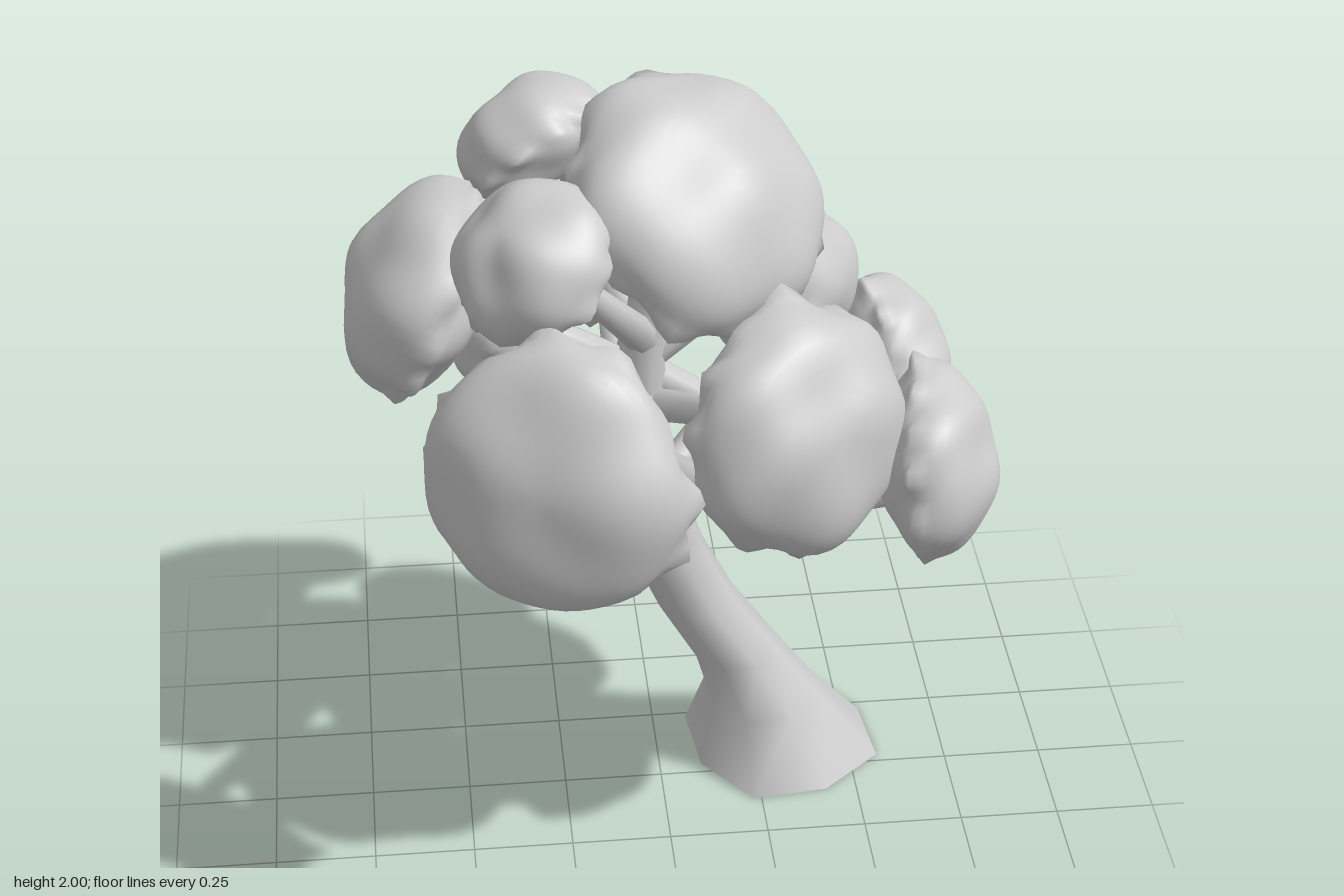
import * as THREE from 'three';
import { mergeVertices } from 'three/addons/utils/BufferGeometryUtils.js';

const material = new THREE.MeshStandardMaterial({ color: 0xcccccc });

// Trunk rings: y, centre x, centre z, radius x, radius z
const trunkRings = [
  [0, 0.33, -0.13, 0.25, 0.26],
  [0.18, 0.28, -0.11, 0.155, 0.15],
  [0.33, 0.205, -0.11, 0.11, 0.11],
  [0.5, 0.1, -0.105, 0.1, 0.105],
  [0.66, 0.025, -0.105, 0.095, 0.1],
  [0.82, -0.015, -0.08, 0.085, 0.1],
  [1.0, -0.045, -0.07, 0.075, 0.09],
  [1.25, -0.045, -0.06, 0.06, 0.062],
  [1.45, -0.02, -0.06, 0.045, 0.045],
  [1.68, 0.02, -0.06, 0.025, 0.025],
];

// Leaf clumps: centre, outward direction, disc radius, half thickness
const clumps = [
  { at: [0.08, 1.745, 0.075], out: [0.43, 0.7, 0.55], r: 0.315, t: 0.155 },
  { at: [0.03, 1.68, -0.3], out: [0, 0.72, -0.65], r: 0.285, t: 0.14 },
  { at: [-0.085, 1.31, -0.55], out: [-0.1, 0.3, -0.9], r: 0.275, t: 0.125 },
  { at: [-0.28, 1.75, -0.25], out: [-0.5, 0.7, -0.4], r: 0.19, t: 0.13 },
  { at: [-0.31, 1.7, 0.23], out: [-0.5, 0.7, 0.4], r: 0.195, t: 0.13 },
  { at: [-0.56, 1.5, -0.025], out: [-0.85, 0.4, 0], r: 0.26, t: 0.16 },
  { at: [-0.34, 1.315, -0.14], out: [-0.75, 0.3, -0.5], r: 0.18, t: 0.14 },
  { at: [-0.29, 1.305, 0.525], out: [-0.35, 0.22, 0.9], r: 0.31, t: 0.135 },
  { at: [0.275, 1.34, 0.43], out: [0.5, 0.3, 0.8], r: 0.29, t: 0.145 },
  { at: [0.61, 1.155, 0.315], out: [0.95, 0.12, 0.25], r: 0.23, t: 0.135 },
  { at: [0.565, 1.19, -0.105], out: [0.95, 0.15, -0.15], r: 0.2, t: 0.135 },
  { at: [0.335, 1.155, -0.4], out: [0.6, 0.2, -0.7], r: 0.2, t: 0.13 },
  { at: [0.31, 1.46, -0.13], out: [0.68, 0.65, -0.1], r: 0.2, t: 0.14 },
  { at: [0.305, 0.88, -0.135], out: [0.5, -0.6, -0.5], r: 0.13, t: 0.08 },
];

// Branch paths from the trunk into the clumps, with start and end radius
const branches = [
  { path: [[-0.03, 0.94, -0.06], [0.07, 0.97, 0.08], [0.3, 0.99, 0.2], [0.58, 1.07, 0.3]], r: [0.06, 0.035] },
  { path: [[0, 0.78, -0.09], [0.12, 0.84, -0.11], [0.3, 0.88, -0.13]], r: [0.04, 0.02] },
  { path: [[-0.02, 0.8, -0.12], [0.1, 0.88, -0.24], [0.32, 1.1, -0.4]], r: [0.045, 0.025] },
  { path: [[-0.04, 1.22, -0.06], [0.13, 1.1, -0.08], [0.26, 1.0, -0.1], [0.55, 1.12, -0.12]], r: [0.045, 0.03] },
  { path: [[-0.04, 1.12, -0.06], [0.1, 1.2, 0.12], [0.26, 1.32, 0.4]], r: [0.045, 0.025] },
  { path: [[-0.04, 1.13, -0.05], [-0.12, 1.2, 0.2], [-0.27, 1.28, 0.5]], r: [0.05, 0.025] },
  { path: [[-0.04, 1.05, -0.08], [-0.08, 1.12, -0.3], [-0.09, 1.25, -0.54]], r: [0.045, 0.025] },
  { path: [[-0.04, 1.2, -0.06], [-0.25, 1.35, -0.02], [-0.55, 1.47, -0.02]], r: [0.045, 0.025] },
  { path: [[-0.03, 1.3, -0.06], [-0.15, 1.5, -0.14], [-0.28, 1.72, -0.24]], r: [0.04, 0.02] },
  { path: [[-0.03, 1.3, -0.06], [-0.12, 1.47, 0.1], [-0.3, 1.7, 0.22]], r: [0.045, 0.025] },
  { path: [[-0.03, 1.25, -0.06], [0.12, 1.35, -0.08], [0.31, 1.46, -0.13]], r: [0.04, 0.02] },
  { path: [[-0.02, 1.4, -0.06], [0.02, 1.55, -0.15], [0.03, 1.66, -0.29]], r: [0.035, 0.02] },
];

function addMesh(group, geometry, name) {
  const mesh = new THREE.Mesh(geometry, material);
  mesh.name = name;
  group.add(mesh);
  return mesh;
}

// Eight-sided trunk lofted through the rings, with a flat base
function trunkGeometry() {
  const sides = 8, positions = [], index = [];
  trunkRings.forEach(([y, cx, cz, rx, rz], j) => {
    for (let i = 0; i < sides; i++) {
      const a = ((i + 0.5) / sides) * Math.PI * 2;
      const k = (j < 2 && i % 2) ? 0.96 : 1.05;
      positions.push(cx + Math.cos(a) * rx * k, y, cz + Math.sin(a) * rz * k);
      if (j === 0) continue;
      const n = (i + 1) % sides, lo = (j - 1) * sides, hi = j * sides;
      index.push(lo + i, hi + i, lo + n, lo + n, hi + i, hi + n);
    }
  });
  const g = new THREE.BufferGeometry();
  g.setAttribute('position', new THREE.Float32BufferAttribute(positions, 3));
  g.setIndex(index);
  g.computeVertexNormals();
  return g;
}

function baseGeometry() {
  const [y, cx, cz, rx, rz] = trunkRings[0];
  const g = new THREE.CircleGeometry(1, 8, Math.PI / 8);
  const p = g.attributes.position;
  for (let i = 1; i < p.count; i++) {
    const k = i % 2 ? 1.05 : 0.96;
    p.setXY(i, p.getX(i) * k, p.getY(i) * k);
  }
  return g.scale(rx, rz, 1).rotateX(Math.PI / 2).translate(cx, y, cz);
}

// Tube whose rings shrink towards the tip
function branchGeometry({ path, r }) {
  const curve = new THREE.CatmullRomCurve3(path.map(p => new THREE.Vector3(...p)));
  const rows = 10, sides = 8;
  const g = new THREE.TubeGeometry(curve, rows, r[0], sides);
  const p = g.attributes.position, v = new THREE.Vector3();
  for (let i = 0; i < p.count; i++) {
    const u = Math.floor(i / (sides + 1)) / rows;
    const c = curve.getPointAt(u);
    v.fromBufferAttribute(p, i).sub(c).multiplyScalar(1 + (r[1] / r[0] - 1) * u).add(c);
    p.setXYZ(i, v.x, v.y, v.z);
  }
  return g;
}

// Lumpy lens with a ragged leafy rim; its local y points outwards
function clumpGeometry(r, t, seed) {
  let g = new THREE.SphereGeometry(1, 60, 26);
  g.deleteAttribute('uv');
  g.deleteAttribute('normal');
  g = mergeVertices(g, 1e-4);
  const p = g.attributes.position, v = new THREE.Vector3();
  for (let i = 0; i < p.count; i++) {
    v.fromBufferAttribute(p, i);
    const a = Math.atan2(v.z, v.x), y = v.y;
    const lump = 0.018 * (Math.sin(v.x * 7 + seed) + Math.sin(v.z * 6 - v.x * 4 + seed * 2)
      + Math.sin(v.z * 6 + v.x * 5 + y * 4 + seed * 3));
    // Pointed teeth of uneven length stand out just behind the widest line
    const wave = Math.asin(Math.sin(a * 12 + seed + Math.sin(a * 2 + seed))) / Math.PI + 0.5;
    const saw = wave * (0.7 + 0.3 * Math.sin(a * 4 + seed * 2.3));
    const rim = Math.exp(-Math.pow((y + 0.15) / 0.13, 2));
    const tooth = rim * (0.17 * saw + 0.03 * Math.sin(a * 3 + seed * 1.7) - 0.03);
    const wide = r * (1 + lump + tooth);
    const tall = t * (1 + lump * 1.5) * (y < 0 ? 0.9 : 1.08);
    p.setXYZ(i, v.x * wide, y * tall - rim * saw * 0.15 * t, v.z * wide);
  }
  g.computeVertexNormals();
  return g;
}

export function createModel() {
  const tree = new THREE.Group();
  tree.name = 'tree';

  addMesh(tree, trunkGeometry(), 'trunk');
  addMesh(tree, baseGeometry(), 'trunkBase');

  const branchGroup = new THREE.Group();
  branchGroup.name = 'branches';
  branches.forEach(b => addMesh(branchGroup, branchGeometry(b), 'branch'));

  const crown = new THREE.Group();
  crown.name = 'crown';
  const up = new THREE.Vector3(0, 1, 0);
  clumps.forEach(({ at, out, r, t }, i) => {
    const clump = addMesh(crown, clumpGeometry(r, t, 1 + i * 1.37), 'leafClump');
    clump.position.set(...at);
    clump.quaternion.setFromUnitVectors(up, new THREE.Vector3(...out).normalize());
  });

  tree.add(branchGroup, crown);
  return tree;
}
